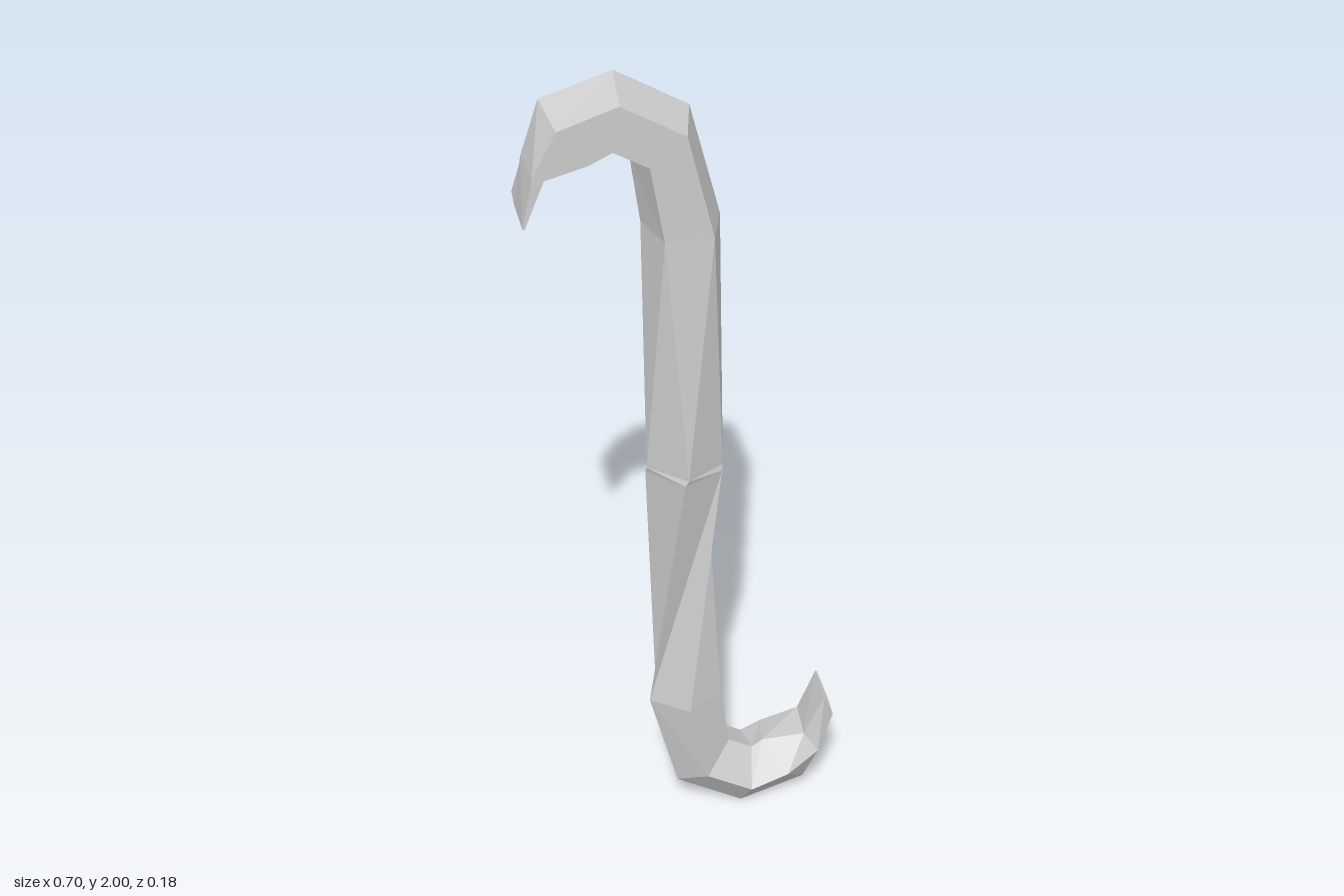
import * as THREE from 'three';

const SIDES = 5;
const RADIUS = 0.09;

// Hook stations from tip to shaft: inner edge (x, y) and outer edge (x, y)
const HOOK = [
  [-0.345, 1.705, -0.352, 1.71],
  [-0.295, 1.813, -0.335, 1.825],
  [-0.19, 1.815, -0.295, 1.95],
  [-0.165, 1.833, -0.14, 2.0],
  [-0.108, 1.80, 0.019, 1.905],
  [-0.086, 1.64, 0.086, 1.64],
];

// A pentagonal section: centre, half-width vector in the xy plane, twist in degrees
function section(cx, cy, hx, hy, twist) {
  const points = [];
  for (let k = 0; k < SIDES; k++) {
    const a = THREE.MathUtils.degToRad(54 + twist + k * 72);
    const w = Math.cos(a) / Math.cos(Math.PI / 10);
    points.push([cx + hx * w, cy + hy * w, RADIUS * Math.sin(a)]);
  }
  return points;
}

// Skin consecutive sections; "inward" picks the diagonal that makes a side concave
function skin(sections, inward) {
  const pos = [];
  const tri = (...corners) => corners.forEach((c) => pos.push(...c));
  for (let i = 0; i < sections.length - 1; i++) {
    const s = sections[i], t = sections[i + 1];
    for (let k = 0; k < SIDES; k++) {
      const n = (k + 1) % SIDES;
      if (inward(i)) {
        tri(s[n], t[n], s[k]);
        tri(s[k], t[n], t[k]);
      } else {
        tri(s[n], t[n], t[k]);
        tri(s[n], t[k], s[k]);
      }
    }
  }
  // Close both blade tips
  const first = sections[0], last = sections[sections.length - 1];
  for (let k = 1; k < SIDES - 1; k++) {
    tri(first[0], first[k + 1], first[k]);
    tri(last[0], last[k], last[k + 1]);
  }
  const geometry = new THREE.BufferGeometry();
  geometry.setAttribute('position', new THREE.Float32BufferAttribute(pos, 3));
  geometry.computeVertexNormals();
  return geometry;
}

export function createModel() {
  const group = new THREE.Group();
  group.name = 'doubleHook';

  // Upper hook, and the lower hook as its point reflection through the middle
  const upper = [], lower = [];
  for (const [ix, iy, ox, oy] of HOOK) {
    const cx = (ix + ox) / 2, cy = (iy + oy) / 2;
    const hx = (ox - ix) / 2, hy = (oy - iy) / 2;
    upper.push(section(cx, cy, hx, hy, 0));
    lower.unshift(section(-cx, 2 - cy, hx, hy, 108));
  }

  // Narrow twisted joint halfway along the shaft
  const joint = [
    section(0, 1.032, 0.086, -0.004, 39),
    section(0, 1.018, 0.086, -0.004, 44),
  ];

  const sections = [...upper, ...joint, ...lower];
  const lowerShaft = upper.length + 1;
  const bar = new THREE.Mesh(
    skin(sections, (i) => i === lowerShaft),
    new THREE.MeshStandardMaterial({ color: 0xcccccc, flatShading: true })
  );
  bar.name = 'twistedHookBar';
  group.add(bar);
  return group;
}
